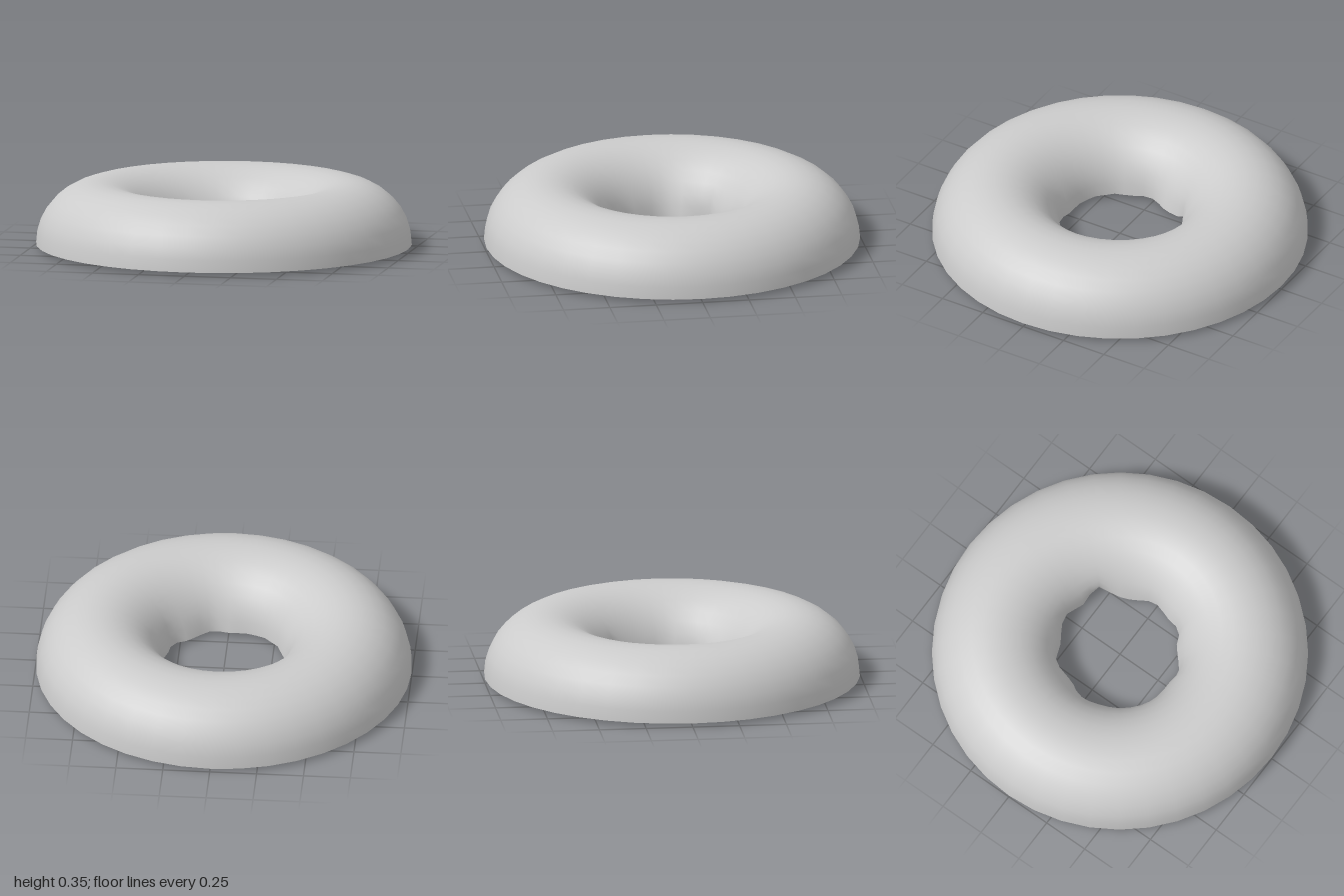
import * as THREE from 'three';
import { mergeVertices } from 'three/addons/utils/BufferGeometryUtils.js';

const SEGMENTS = 40, ARC = 16;   // steps around the ring, steps over the dome
const TUBE = 0.333, MAJOR = 0.667, BASE = 0.02;

// Uneven radius of the inner rim, one value per step from +z towards +x
const RIM = [
  0.31, 0.325, 0.33, 0.315, 0.305, 0.305, 0.33, 0.333, 0.32, 0.325,
  0.335, 0.33, 0.318, 0.313, 0.315, 0.34, 0.365, 0.353, 0.335, 0.34,
  0.35, 0.345, 0.33, 0.32, 0.33, 0.347, 0.33, 0.308, 0.305, 0.32,
  0.335, 0.335, 0.325, 0.326, 0.335, 0.333, 0.335, 0.33, 0.325, 0.315,
];

// Rim height: raised where the hole widens, one small drip below the base
function rimHeight(i) {
  if (i === 12 || i === 13) return i === 13 ? 0 : 0.005;
  return BASE + Math.max(0, RIM[i] - 0.334) * 2.2;
}

export function createModel() {
  const group = new THREE.Group();
  group.name = 'ringIcing';

  // Half-round profile from the outer edge over the top to the inner rim
  const profile = [];
  for (let j = 0; j <= ARC; j++) {
    const a = (j / ARC) * Math.PI;
    profile.push(new THREE.Vector2(MAJOR + TUBE * Math.cos(a), BASE + TUBE * Math.sin(a)));
  }
  let geometry = new THREE.LatheGeometry(profile, SEGMENTS);

  // Pull the lowest part of the inner wall to the wavy rim
  const pos = geometry.attributes.position;
  for (let s = 0; s <= SEGMENTS; s++) {
    const i = s % SEGMENTS, phi = (i / SEGMENTS) * Math.PI * 2;
    for (let j = ARC - 4; j <= ARC; j++) {
      const w = ((j - ARC + 5) / 5) ** 2;
      const p = profile[j];
      const r = p.x + (RIM[i] - profile[ARC].x) * w;
      const y = p.y + (rimHeight(i) - BASE) * w;
      pos.setXYZ(s * (ARC + 1) + j, r * Math.sin(phi), y, r * Math.cos(phi));
    }
  }

  // Weld the seam so the shading is smooth all round
  geometry.deleteAttribute('uv');
  geometry.deleteAttribute('normal');
  geometry = mergeVertices(geometry, 1e-4);
  geometry.computeVertexNormals();

  const icing = new THREE.Mesh(
    geometry,
    new THREE.MeshStandardMaterial({ color: 0xcccccc, side: THREE.DoubleSide })
  );
  icing.name = 'icingShell';
  group.add(icing);
  return group;
}
